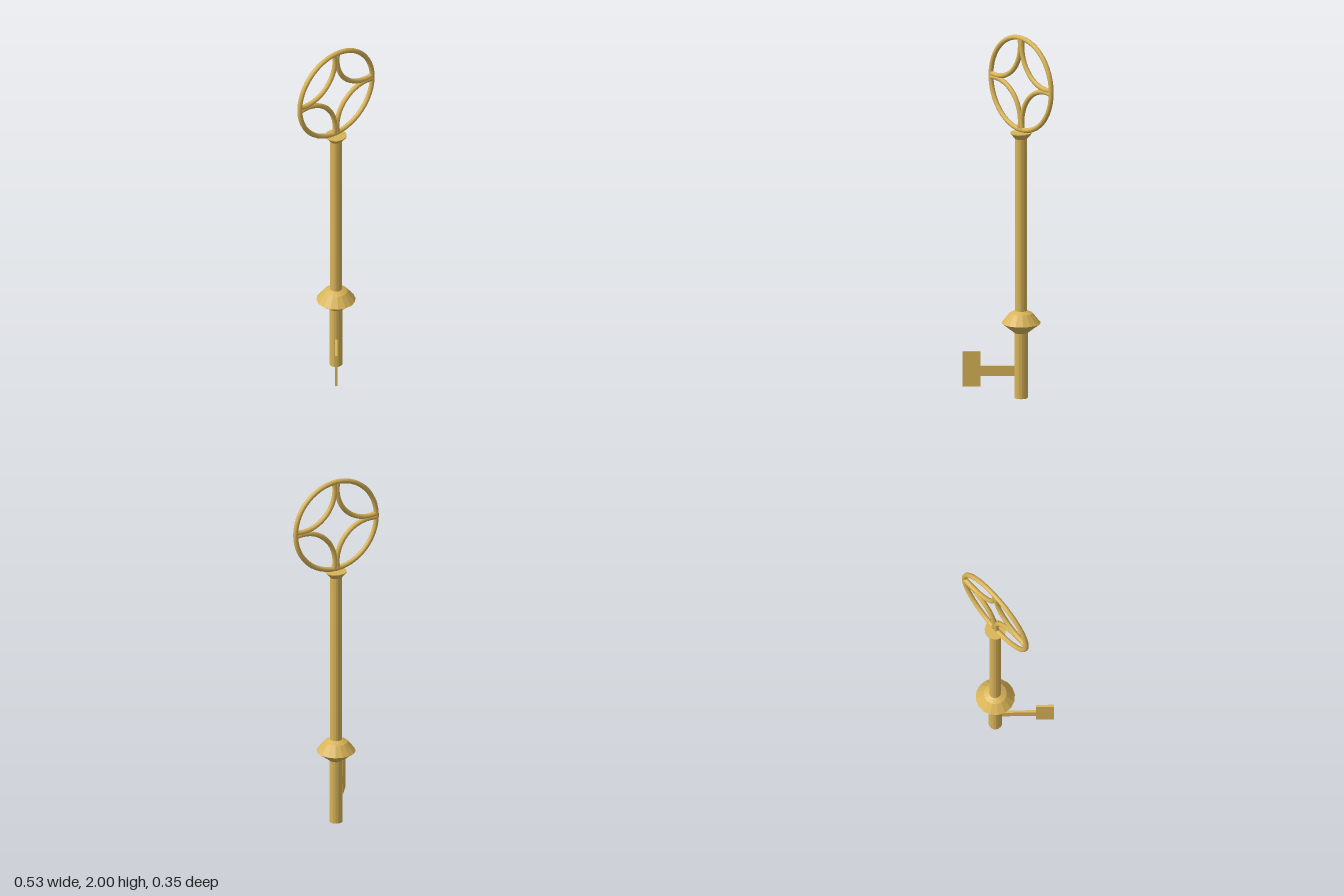
import * as THREE from 'three';

const SIDES = 16;
const AXIS_Z = -0.072; // the shaft stands behind the centre, the bit reaches forward
const BOW_Y = 1.735;
const RING_R = 0.2535;
const TUBE_R = 0.0135;

const smooth = new THREE.MeshStandardMaterial({ color: 0xd9b458 });
const faceted = new THREE.MeshStandardMaterial({ color: 0xd9b458, flatShading: true });

function add(parent, name, geometry, material) {
  const mesh = new THREE.Mesh(geometry, material);
  mesh.name = name;
  parent.add(mesh);
  return mesh;
}

// turned part from [radius, height] pairs, flats facing the main axes
function turned(parent, name, profile, sides = SIDES) {
  const points = profile.map(([r, y]) => new THREE.Vector2(r, y));
  const mesh = add(parent, name, new THREE.LatheGeometry(points, sides), faceted);
  mesh.rotation.y = Math.PI / sides;
  return mesh;
}

export function createModel() {
  const model = new THREE.Group();
  model.name = 'key';
  const key = new THREE.Group();
  key.name = 'keyBody';
  key.position.z = AXIS_Z;
  model.add(key);

  // shaft: thicker tip below the collar, slimmer stem above it
  turned(key, 'tip', [[0, 0], [0.036, 0], [0.036, 0.37], [0, 0.37]]);
  turned(key, 'collar', [[0, 0.36], [0.036, 0.36], [0.1055, 0.414], [0.062, 0.468], [0.034, 0.482], [0, 0.482]]);
  turned(key, 'stem', [[0, 0.47], [0.032, 0.47], [0.032, 1.44], [0, 1.44]]);
  turned(key, 'flare', [[0, 1.432], [0.032, 1.432], [0.057, 1.461], [0.057, 1.467], [0, 1.467]], 32);

  // bow: outer ring with four inward-curving arcs
  const bow = new THREE.Group();
  bow.name = 'bow';
  bow.position.y = BOW_Y;
  key.add(bow);
  add(bow, 'ring', new THREE.TorusGeometry(RING_R, TUBE_R, 12, 48), smooth);

  const arcCentre = 0.21;
  const arcR = 0.203;
  const overrun = Math.asin((0.25 - arcCentre) / arcR); // carries the ends into the ring
  const arcGeometry = new THREE.TorusGeometry(arcR, TUBE_R, 10, 20, Math.PI / 2 + 2 * overrun);
  arcGeometry.rotateZ(Math.PI - overrun);
  arcGeometry.translate(arcCentre, arcCentre, 0);
  for (let i = 0; i < 4; i++) {
    add(bow, 'bowArc' + (i + 1), arcGeometry, smooth).rotation.z = i * Math.PI / 2;
  }

  // bit: thin T-shaped plate, turned towards the front right
  const outline = [
    [0.01, 0.122], [0.217, 0.122], [0.217, 0.063], [0.315, 0.063],
    [0.315, 0.256], [0.217, 0.256], [0.217, 0.176], [0.01, 0.176],
  ].map(([x, y]) => new THREE.Vector2(x, y));
  const thickness = 0.013;
  const bitGeometry = new THREE.ExtrudeGeometry(new THREE.Shape(outline), { depth: thickness, bevelEnabled: false });
  bitGeometry.translate(0, 0, -thickness / 2);
  add(key, 'bit', bitGeometry, faceted).rotation.y = Math.atan2(-0.768, -0.64);

  return model;
}
